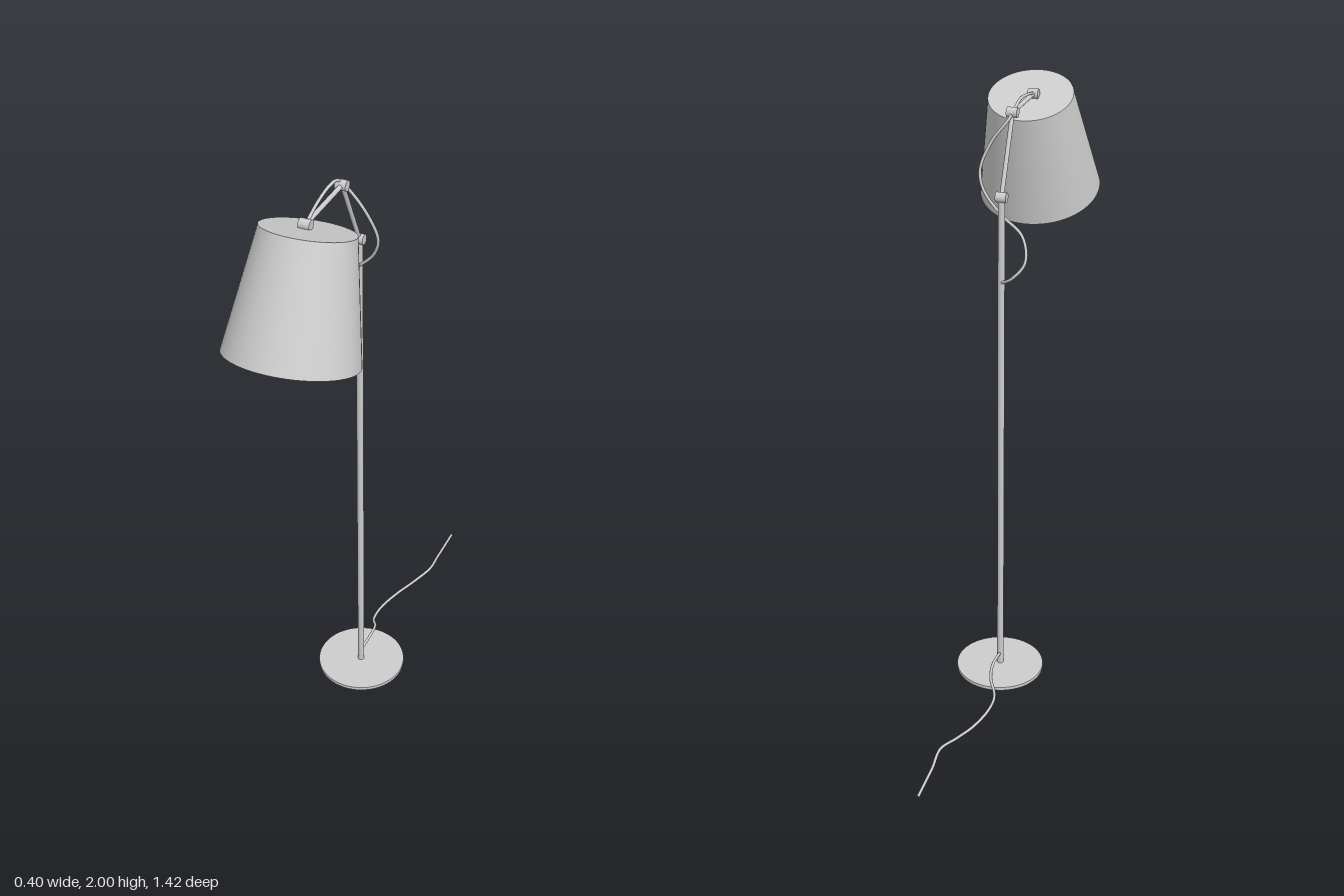
import * as THREE from 'three';

const grey = new THREE.MeshStandardMaterial({ color: 0xcccccc });
grey.name = 'satin grey';
const shadeGrey = new THREE.MeshStandardMaterial({ color: 0xcccccc, side: THREE.DoubleSide });
shadeGrey.name = 'shade grey';

const V = (x, y, z) => new THREE.Vector3(x, y, z);
const X = -0.012; // plane of the pole and arms

function part(name, geometry, material = grey) {
  const mesh = new THREE.Mesh(geometry, material);
  mesh.name = name;
  return mesh;
}

// Round bar between two points
function rod(name, a, b, radius) {
  const mesh = part(name, new THREE.CylinderGeometry(radius, radius, a.distanceTo(b), 20));
  mesh.position.copy(a).lerp(b, 0.5);
  mesh.quaternion.setFromUnitVectors(V(0, 1, 0), b.clone().sub(a).normalize());
  return mesh;
}

function cable(name, points) {
  const curve = new THREE.CatmullRomCurve3(points.map(p => V(...p)));
  return part(name, new THREE.TubeGeometry(curve, 120, 0.005, 8));
}

export function createModel() {
  const lamp = new THREE.Group();
  lamp.name = 'floorLamp';

  // Base disc and pole
  const base = part('base', new THREE.CylinderGeometry(0.15, 0.15, 0.012, 64));
  base.position.set(X, 0.006, 0.045);
  lamp.add(base);
  const elbow = V(X, 1.735, 0.048), knee = V(X, 1.968, 0.16), neck = V(X, 1.962, 0.39);
  lamp.add(rod('pole', V(X, 0.01, 0.048), elbow, 0.011));

  // Two arms with a drum joint at each end
  lamp.add(rod('lowerArm', elbow, knee, 0.007));
  lamp.add(rod('upperArm', knee, neck, 0.007));
  for (const p of [elbow, knee, neck]) {
    lamp.add(rod('joint', V(X - 0.017, p.y, p.z), V(X + 0.017, p.y, p.z), 0.016));
  }

  // Tilted shade: open cone wall with a closed top
  const shade = new THREE.Group();
  shade.name = 'shade';
  const H = 0.364;
  const wall = part('shadeWall', new THREE.CylinderGeometry(0.137, 0.199, H, 64, 1, true), shadeGrey);
  wall.position.y = -H / 2;
  const lid = part('shadeTop', new THREE.CircleGeometry(0.137, 64), shadeGrey);
  lid.rotation.x = -Math.PI / 2;
  shade.add(wall, lid);
  shade.position.set(0, 1.954, 0.4);
  shade.rotation.x = -0.344;
  lamp.add(shade);

  // Loose cable from the pole, around the joints, to the shade
  lamp.add(cable('upperCable', [
    [X, 1.455, 0.045], [-0.055, 1.485, 0.018], [-0.095, 1.54, 0.027], [-0.075, 1.61, 0.062],
    [0, 1.665, 0.085], [0.06, 1.73, 0.1], [0.077, 1.79, 0.112], [0.045, 1.88, 0.128],
    [-0.005, 1.95, 0.14], [-0.02, 1.985, 0.17], [-0.02, 1.995, 0.22],
    [-0.018, 1.985, 0.3], [-0.012, 1.965, 0.385],
  ]));

  // Mains cable trailing over the floor behind
  lamp.add(cable('floorCable', [
    [X, 0.052, 0.045], [-0.011, 0.056, -0.04], [-0.022, 0.04, -0.095], [-0.052, 0.015, -0.15],
    [-0.055, 0.009, -0.22], [-0.032, 0.006, -0.32], [0, 0.01, -0.4], [0.03, 0.019, -0.48],
    [0.027, 0.01, -0.57], [0.026, 0.007, -0.71],
  ]));

  return lamp;
}
